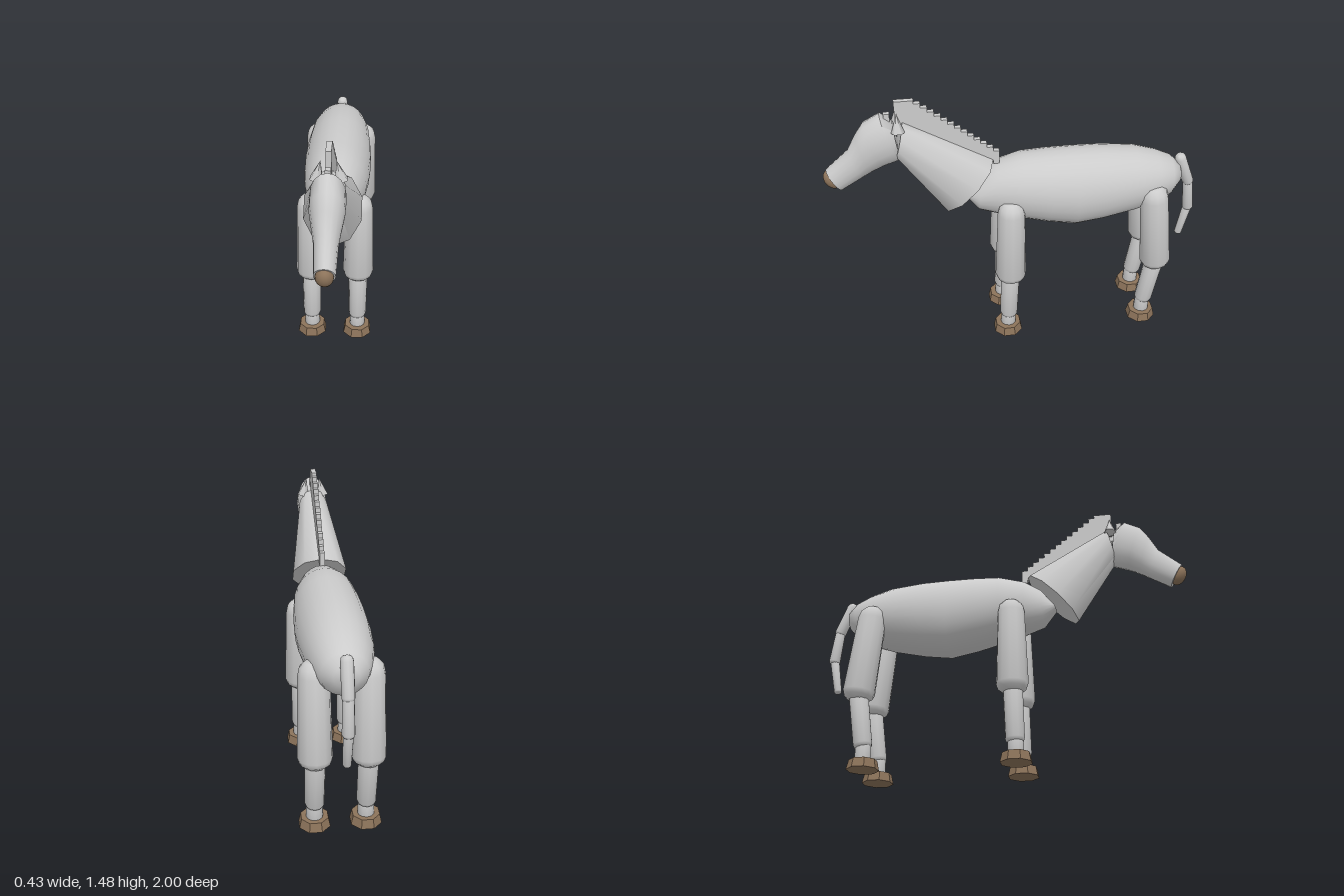
import * as THREE from 'three';
import { toCreasedNormals } from 'three/addons/utils/BufferGeometryUtils.js';

const grey = new THREE.MeshStandardMaterial({ color: 0xcccccc });
const brown = new THREE.MeshStandardMaterial({ color: 0x8c735a });
const hoofBrown = new THREE.MeshStandardMaterial({ color: 0x8c735a, flatShading: true });

function add(parent, name, geometry, material = grey) {
  const mesh = new THREE.Mesh(geometry, material);
  mesh.name = name;
  parent.add(mesh);
  return mesh;
}

// Closed skin over elliptical sections running front to back.
// Each section: [top z, top y, bottom z, bottom y, half width]
function loft(sections, sides) {
  const pos = [], index = [];
  for (const [tz, ty, bz, by, w] of sections) {
    for (let j = 0; j < sides; j++) {
      const t = (j / sides) * Math.PI * 2, c = Math.cos(t) / 2;
      pos.push(w * Math.sin(t), (ty + by) / 2 + (ty - by) * c, (tz + bz) / 2 + (tz - bz) * c);
    }
  }
  const last = sections.length - 1;
  for (const s of [sections[0], sections[last]]) pos.push(0, (s[1] + s[3]) / 2, (s[0] + s[2]) / 2);
  const front = sections.length * sides, back = front + 1;
  for (let j = 0; j < sides; j++) {
    const k = (j + 1) % sides;
    for (let i = 0; i < last; i++) {
      const a = i * sides, b = a + sides;
      index.push(a + j, a + k, b + j, a + k, b + k, b + j);
    }
    index.push(front, k, j, back, last * sides + j, last * sides + k);
  }
  const g = new THREE.BufferGeometry();
  g.setAttribute('position', new THREE.Float32BufferAttribute(pos, 3));
  g.setIndex(index);
  return toCreasedNormals(g, 0.9);
}

// Tapered limb with a domed upper end and a bevelled lower end
function limb(parent, name, x, [y0, z0], [y1, z1], r0, r1) {
  const top = new THREE.Vector3(x, y0, z0), bottom = new THREE.Vector3(x, y1, z1);
  const axis = top.clone().sub(bottom), L = axis.length();
  const profile = [
    [0, 0], [r1 * 0.6, 0], [r1 * 0.9, r1 * 0.25], [r1, r1 * 0.55],
    [r0, L - r0 * 0.95], [r0 * 0.88, L - r0 * 0.4], [r0 * 0.55, L - r0 * 0.06], [0, L],
  ].map(([r, y]) => new THREE.Vector2(r, y));
  const mesh = add(parent, name, toCreasedNormals(new THREE.LatheGeometry(profile, 12), 0.9));
  mesh.position.copy(bottom);
  mesh.quaternion.setFromUnitVectors(new THREE.Vector3(0, 1, 0), axis.normalize());
}

function leg(parent, name, x, hip, knee, ankle, r0, r1) {
  const g = new THREE.Group();
  g.name = name;
  limb(g, 'upperLeg', x, hip, knee, r0, r1);
  limb(g, 'lowerLeg', x, [knee[0] + 0.06, knee[1]], ankle, 0.052, 0.05);
  limb(g, 'pastern', x, [ankle[0] + 0.06, ankle[1]], [0.02, ankle[1] + 0.003], 0.041, 0.043);
  const hoof = add(g, 'hoof', new THREE.CylinderGeometry(0.073, 0.084, 0.05, 8), hoofBrown);
  hoof.position.set(x, 0.025, ankle[1] + 0.005);
  hoof.rotation.y = Math.PI / 8;
  parent.add(g);
}

export function createModel() {
  const model = new THREE.Group();
  model.name = 'horse';

  // Barrel
  add(model, 'body', loft([
    [0.27, 0.93, 0.29, 0.89, 0.04],
    [0.21, 1.01, 0.22, 0.80, 0.10],
    [0.12, 1.07, 0.12, 0.765, 0.13],
    [-0.02, 1.105, 0, 0.73, 0.165],
    [-0.15, 1.11, -0.15, 0.69, 0.18],
    [-0.3, 1.11, -0.3, 0.66, 0.187],
    [-0.45, 1.105, -0.45, 0.68, 0.183],
    [-0.63, 1.085, -0.63, 0.72, 0.168],
    [-0.75, 1.05, -0.74, 0.76, 0.143],
    [-0.83, 1.015, -0.82, 0.79, 0.112],
    [-0.88, 0.97, -0.88, 0.86, 0.06],
  ], 24));

  // Neck and head
  add(model, 'neck', loft([
    [0.58, 1.365, 0.63, 1.16, 0.08],
    [0.13, 1.1, 0.41, 0.82, 0.155],
  ], 10));
  add(model, 'head', loft([
    [0.985, 1.11, 0.915, 0.985, 0.05],
    [0.865, 1.215, 0.80, 1.055, 0.057],
    [0.82, 1.3, 0.75, 1.085, 0.07],
    [0.775, 1.365, 0.69, 1.115, 0.083],
    [0.69, 1.41, 0.615, 1.14, 0.083],
    [0.63, 1.36, 0.605, 1.16, 0.06],
  ], 16));
  const nose = add(model, 'nose', new THREE.SphereGeometry(1, 16, 12), brown);
  nose.scale.set(0.042, 0.056, 0.04);
  nose.position.set(0, 1.05, 0.96);
  nose.rotation.x = 0.5;

  // Ears
  for (const side of [1, -1]) {
    const ear = add(model, side > 0 ? 'leftEar' : 'rightEar', new THREE.ConeGeometry(0.034, 0.1, 6));
    ear.position.set(side * 0.046, 1.375, 0.605);
    ear.rotation.z = side * 0.2;
  }

  // Stepped mane following the neck, with a small forelock
  const mane = new THREE.Group();
  mane.name = 'mane';
  const count = 16, step = 0.515 / count;
  for (let i = 0; i < count; i++) {
    const z = 0.615 - (i + 0.5) * step;
    const top = Math.min(1.475, 1.475 - (0.525 - z) * 0.8);
    const bottom = Math.min(1.34, 1.005 + 0.57 * z);
    const tuft = add(mane, 'maneTuft', new THREE.BoxGeometry(0.027, top - bottom, step));
    tuft.position.set(0, (top + bottom) / 2, z);
  }
  const forelock = add(mane, 'forelock', new THREE.BoxGeometry(0.027, 0.07, 0.03));
  forelock.position.set(0, 1.375, 0.655);
  model.add(mane);

  // Legs
  for (const [side, x] of [['left', 0.13], ['right', -0.13]]) {
    leg(model, side + 'FrontLeg', x, [0.9, 0.055], [0.375, 0.062], [0.1, 0.075], 0.073, 0.085);
    leg(model, side + 'HindLeg', x, [0.92, -0.71], [0.38, -0.765], [0.11, -0.715], 0.077, 0.086);
  }

  // Tail
  const tail = new THREE.Group();
  tail.name = 'tail';
  limb(tail, 'tailRoot', 0, [1.025, -0.875], [0.83, -0.95], 0.031, 0.031);
  limb(tail, 'tailMiddle', 0, [0.88, -0.94], [0.655, -0.965], 0.027, 0.031);
  limb(tail, 'tailTip', 0, [0.69, -0.965], [0.48, -0.927], 0.025, 0.021);
  model.add(tail);

  return model;
}
